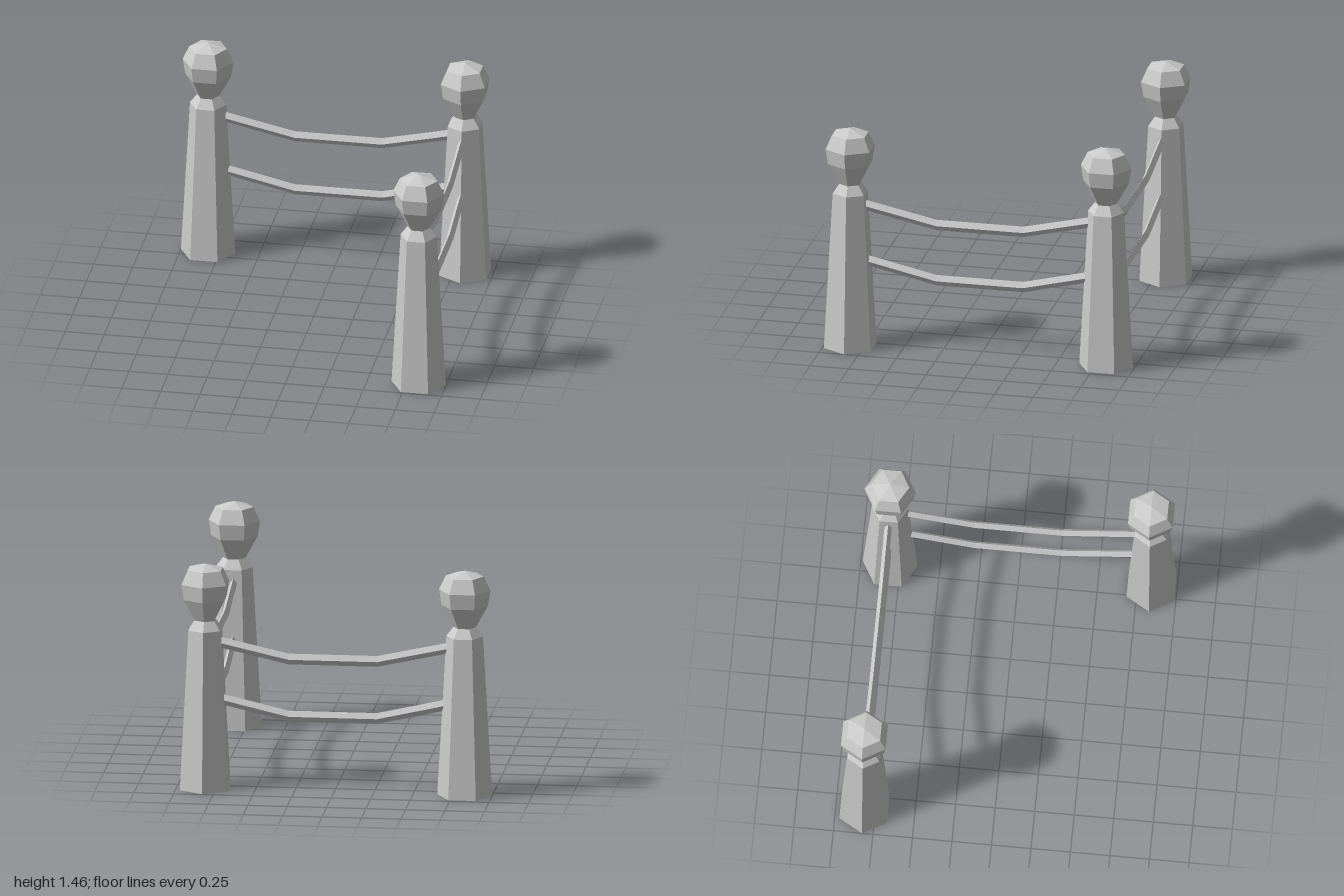
import * as THREE from 'three';

const material = new THREE.MeshStandardMaterial({ color: 0xcccccc, flatShading: true });

// Tapered hexagonal post: shaft, neck and faceted knob (radius, height)
const shaftProfile = [[0, 0], [0.174, 0], [0.116, 1.03], [0.071, 1.09]];
const knobProfile = [[0.071, 1.09], [0.147, 1.23], [0.163, 1.33], [0.121, 1.42], [0, 1.455]];

function lathe(name, profile) {
  const points = profile.map(([r, y]) => new THREE.Vector2(r, y));
  const mesh = new THREE.Mesh(new THREE.LatheGeometry(points, 6), material);
  mesh.name = name;
  return mesh;
}

function makePost(name, x, z, turn) {
  const post = new THREE.Group();
  post.name = name;
  post.add(lathe('shaft', shaftProfile), lathe('knob', knobProfile));
  post.position.set(x, 0, z);
  post.rotation.y = turn;
  return post;
}

// Sagging rope along x with a diamond cross-section kept upright at each bend
function makeRope(name, path) {
  const h = 0.035, w = 0.023;
  const positions = [], index = [];
  for (const [x, y] of path) {
    positions.push(x, y + h, 0, x, y, w, x, y - h, 0, x, y, -w);
  }
  for (let i = 0; i < path.length - 1; i++) {
    for (let k = 0; k < 4; k++) {
      const a = i * 4 + k, b = i * 4 + (k + 1) % 4;
      index.push(a, b, a + 4, b, b + 4, a + 4);
    }
  }
  const e = (path.length - 1) * 4;
  index.push(0, 2, 1, 0, 3, 2, e, e + 1, e + 2, e, e + 2, e + 3);
  const geometry = new THREE.BufferGeometry();
  geometry.setAttribute('position', new THREE.Float32BufferAttribute(positions, 3));
  geometry.setIndex(index);
  geometry.computeVertexNormals();
  const rope = new THREE.Mesh(geometry, material);
  rope.name = name;
  return rope;
}

export function createModel() {
  const model = new THREE.Group();
  model.name = 'ropeFence';

  // Corner post has its ridges facing front and back, the end posts face sideways
  model.add(
    makePost('cornerPost', 0.82, -0.815, 0),
    makePost('rightEndPost', -0.826, -0.82, Math.PI / 2),
    makePost('frontEndPost', 0.826, 0.838, Math.PI / 2),
  );

  // An upper and a lower rope on each side of the corner
  for (const [level, sag, flare] of [['upper', 0.85, 0], ['lower', 0.48, 0.018]]) {
    const end = sag + 0.097;
    const back = makeRope(level + 'BackRope',
      [[-0.712 + flare, end], [-0.27, sag], [0.29, sag], [0.725 - flare, end]]);
    back.position.z = -0.818;

    const side = makeRope(level + 'SideRope',
      [[-0.702 + flare, end], [-0.28, sag], [0.28, sag], [0.74 - flare, end]]);
    side.rotation.y = -Math.PI / 2;
    side.position.x = 0.82;
    model.add(back, side);
  }
  return model;
}
